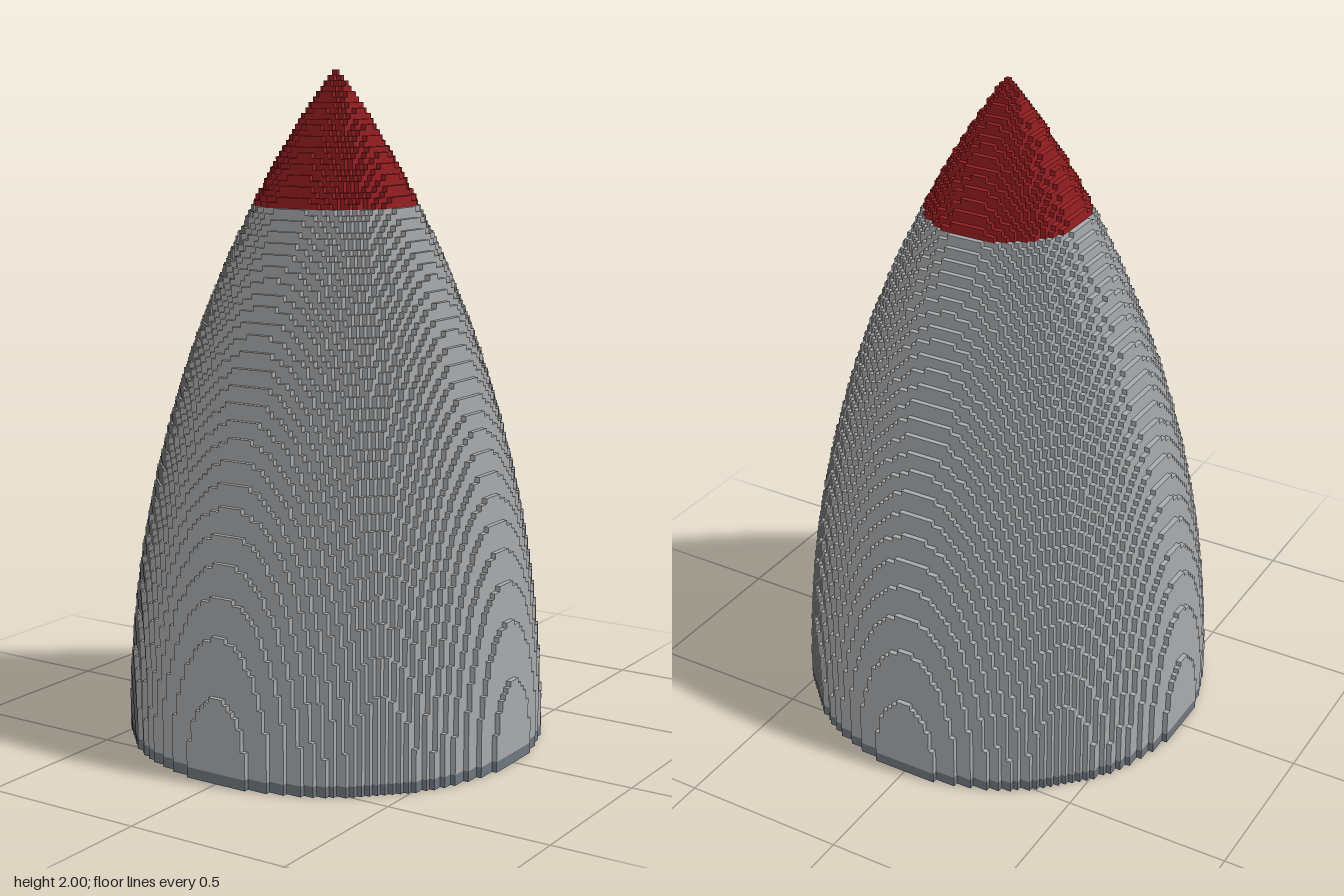
import * as THREE from 'three';

const LAYERS = 127;           // height in blocks
const S = 2 / LAYERS;         // block size
const R = 39.55;              // base radius in blocks
const RHO = (R * R + LAYERS * LAYERS) / (2 * R); // radius of the ogive arc
const N = 39;                 // blocks each side of the centre

// Stack height of the column at (x, z) for a tangent ogive
function columnHeight(x, z) {
  const d = Math.hypot(x, z);
  if (d > R) return 0;
  const a = d - R + RHO;
  return Math.min(LAYERS, Math.floor(Math.sqrt(RHO * RHO - a * a)) + 1);
}

function addQuad(out, a, b, c, d) {
  for (const p of [a, b, c, a, c, d]) out.push(p[0] * S, p[1] * S, p[2] * S);
}

// Exposed block faces lying between layers lo and hi
function bandGeometry(lo, hi) {
  const out = [];
  for (let x = -N; x <= N; x++) {
    for (let z = -N; z <= N; z++) {
      const h = columnHeight(x, z);
      if (h === 0) continue;
      const x0 = x - 0.5, x1 = x + 0.5, z0 = z - 0.5, z1 = z + 0.5;
      // top of the column
      if (h > lo && h <= hi) addQuad(out, [x0, h, z1], [x1, h, z1], [x1, h, z0], [x0, h, z0]);
      // underside
      if (lo === 0) addQuad(out, [x0, 0, z0], [x1, 0, z0], [x1, 0, z1], [x0, 0, z1]);
      // side walls down to each lower neighbour
      for (const [dx, dz] of [[1, 0], [-1, 0], [0, 1], [0, -1]]) {
        const b = Math.max(lo, columnHeight(x + dx, z + dz));
        const t = Math.min(hi, h);
        if (t <= b) continue;
        const cx = x + dx / 2, cz = z + dz / 2, rx = dz / 2, rz = -dx / 2;
        addQuad(out, [cx - rx, b, cz - rz], [cx + rx, b, cz + rz],
          [cx + rx, t, cz + rz], [cx - rx, t, cz - rz]);
      }
    }
  }
  const g = new THREE.BufferGeometry();
  g.setAttribute('position', new THREE.Float32BufferAttribute(out, 3));
  g.computeVertexNormals();
  return g;
}

export function createModel() {
  const group = new THREE.Group();
  group.name = 'noseCone';
  const parts = [
    ['baseRing', 0, 2, 'slate', 0x6f7780],
    ['coneBody', 2, 102, 'lightGrey', 0xa8aaac],
    ['coneTip', 102, LAYERS, 'darkRed', 0x971f22],
  ];
  for (const [name, lo, hi, colorName, color] of parts) {
    const material = new THREE.MeshStandardMaterial({ color });
    material.name = colorName;
    const mesh = new THREE.Mesh(bandGeometry(lo, hi), material);
    mesh.name = name;
    group.add(mesh);
  }
  return group;
}
